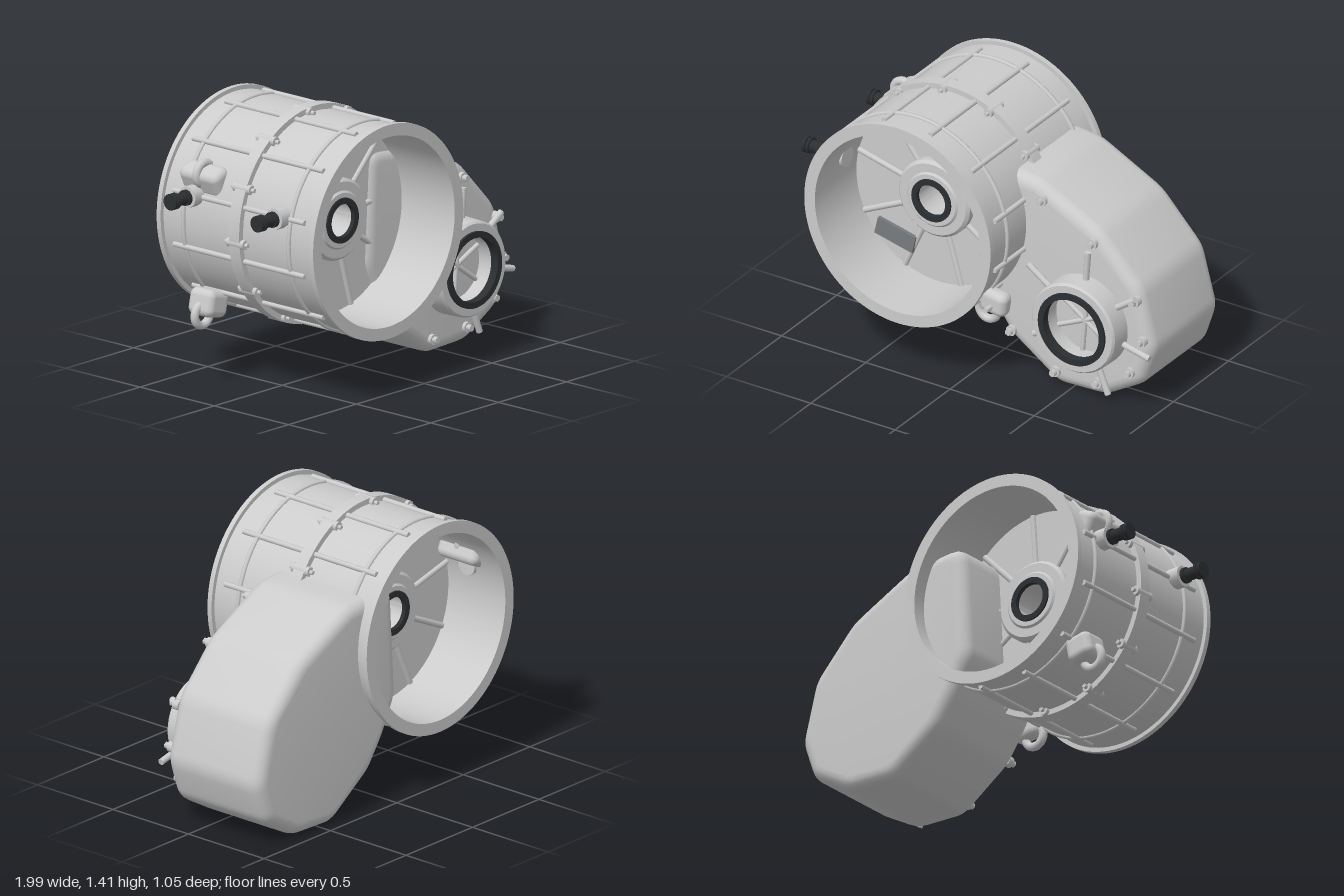
import * as THREE from 'three';
import { toCreasedNormals } from 'three/addons/utils/BufferGeometryUtils.js';
import { RoundedBoxGeometry } from 'three/addons/geometries/RoundedBoxGeometry.js';

const grey = new THREE.MeshStandardMaterial({ color: 0xcccccc });
const black = new THREE.MeshStandardMaterial({ color: 0x2c2f31 });
const dark = new THREE.MeshStandardMaterial({ color: 0x777b7e });

const CX = -0.295, CY = 0.858; // drum axis
const HX = 0.59, HY = 0.43;    // side housing hub axis
const rad = THREE.MathUtils.degToRad;

export function createModel() {
  const model = new THREE.Group();
  model.name = 'drumAndGearHousing';

  const add = (name, geo, mat = grey, x = 0, y = 0, z = 0, parent = model) => {
    const mesh = new THREE.Mesh(geo, mat);
    mesh.name = name;
    mesh.position.set(x, y, z);
    parent.add(mesh);
    return mesh;
  };

  // Solid of revolution about z, from a counter-clockwise (radius, z) section
  const turned = (section, segments = 72) => {
    const pts = [...section, section[0]].map(p => new THREE.Vector2(...p));
    return toCreasedNormals(new THREE.LatheGeometry(pts, segments).rotateX(Math.PI / 2), 0.5);
  };
  const ring = (inner, outer, z0, z1) =>
    turned([[outer, z0], [outer, z1], [inner, z1], [inner, z0]]);

  // Round bar between two points
  const bar = (name, a, b, r, parent = model) => {
    const p = new THREE.Vector3(...a), q = new THREE.Vector3(...b), d = q.clone().sub(p);
    const mesh = add(name, new THREE.CylinderGeometry(r, r, d.length(), 10), grey, 0, 0, 0, parent);
    mesh.position.copy(p).add(q).multiplyScalar(0.5);
    mesh.quaternion.setFromUnitVectors(new THREE.Vector3(0, 1, 0), d.normalize());
  };

  // Drum: open shell with end flanges, web, hub and clamp band
  const drum = new THREE.Group();
  drum.name = 'drum';
  drum.position.set(CX, CY, 0);
  model.add(drum);
  const onDrum = (name, geo, mat = grey, z = 0) => add(name, geo, mat, 0, 0, z, drum);
  onDrum('drumShell', turned([
    [0.553, -0.527], [0.553, -0.5], [0.531, -0.5], [0.531, 0.5], [0.553, 0.5], [0.553, 0.527],
    [0.49, 0.527], [0.49, -0.527]], 96));
  onDrum('clampBand', ring(0.52, 0.56, -0.035, 0.035));
  onDrum('drumWeb', ring(0.15, 0.5, -0.15, 0.15));
  onDrum('drumHub', turned([
    [0.21, -0.19], [0.21, 0.19], [0.195, 0.205], [0.15, 0.205], [0.14, 0.215], [0.1, 0.215],
    [0.1, -0.215], [0.14, -0.215], [0.15, -0.205], [0.195, -0.205]]));
  for (const s of [-1, 1]) onDrum('hubSeal', ring(0.085, 0.116, -0.012, 0.012), black, s * 0.212);

  // Radial web ribs on both faces
  for (let i = 0; i < 9; i++) {
    const a = rad(6 + i * 40), c = Math.cos(a), n = Math.sin(a);
    for (const z of [-0.15, 0.15])
      bar('webRib', [0.2 * c, 0.2 * n, z], [0.495 * c, 0.495 * n, z], 0.016, drum);
  }

  // Outer grid of hoops, long ribs and clamp bolts
  for (const z of [-0.365, 0.345])
    onDrum('drumHoop', new THREE.TorusGeometry(0.533, 0.012, 8, 96), grey, z);
  for (let i = 0; i < 12; i++) {
    const a = rad(15 + 30 * i), x = 0.536 * Math.cos(a), y = 0.536 * Math.sin(a);
    bar('drumRib', [x, y, -0.44], [x, y, 0.44], 0.014, drum);
    const b = rad(5 + 30 * i), bx = 0.538 * Math.cos(b), by = 0.538 * Math.sin(b);
    bar('clampBolt', [bx, by, -0.056], [bx, by, 0.056], 0.025, drum);
    bar('clampBoltTip', [bx, by, -0.075], [bx, by, 0.075], 0.011, drum);
  }

  // Blank plate on the web
  const plate = add('plate', new THREE.BoxGeometry(0.23, 0.095, 0.02), dark, -0.54, 0.567, 0.165);
  plate.rotation.z = rad(-13);

  // Side housing: polygon outline with softened corners, extruded with round edges
  const outline = [[-0.04, 1.155], [-0.075, 0.55], [0.02, 0.36], [0.13, 0.2], [0.41, 0.005],
    [0.69, 0.015], [0.92, 0.15], [0.99, 0.36], [0.905, 0.68], [0.665, 0.935], [0.3, 1.12]]
    .map(p => new THREE.Vector2(...p));
  const shape = new THREE.Shape();
  outline.forEach((p, i) => {
    const count = outline.length;
    const prev = outline[(i + count - 1) % count], next = outline[(i + 1) % count];
    const toward = q => p.clone().add(q.clone().sub(p).setLength(i === 0 ? 0.09 : 0.05));
    const a = toward(prev), b = toward(next);
    if (i === 0) shape.moveTo(a.x, a.y); else shape.lineTo(a.x, a.y);
    shape.quadraticCurveTo(p.x, p.y, b.x, b.y);
  });
  shape.closePath();
  const bevel = 0.065;
  const body = new THREE.ExtrudeGeometry(shape, {
    depth: 0.62 - 2 * bevel, bevelThickness: bevel, bevelSize: bevel, bevelOffset: -bevel,
    bevelSegments: 5, curveSegments: 4 });
  add('sideHousing', toCreasedNormals(body, 0.5), grey, 0, 0, -0.45 + bevel);

  // Housing hub with seal and spoked recess
  add('housingHub', turned([[0.25, 0.15], [0.245, 0.28], [0.235, 0.292], [0.175, 0.292],
    [0.175, 0.15]]), grey, HX, HY);
  add('housingSeal', ring(0.165, 0.197, 0.26, 0.305), black, HX, HY);
  for (let i = 0; i < 3; i++) {
    const a = rad(25 + 60 * i), x = 0.18 * Math.cos(a), y = 0.18 * Math.sin(a);
    bar('recessSpoke', [HX - x, HY - y, 0.175], [HX + x, HY + y, 0.175], 0.013);
  }

  // Housing face ribs radiating from the hub
  for (const [x, y] of [[0.62, 0.83], [0.265, 0.66], [0.9, 0.645], [0.985, 0.335],
    [0.74, 0.06], [0.3, 0.275]]) {
    const d = new THREE.Vector2(x - HX, y - HY).setLength(0.23);
    bar('housingRib', [HX + d.x, HY + d.y, 0.196], [x, y, 0.196], 0.017);
  }

  // Housing cover bolts
  for (const [x, y] of [[0.335, 1.03], [0.635, 0.875], [0.885, 0.62], [0.925, 0.405],
    [0.855, 0.21], [0.665, 0.095], [0.415, 0.085], [0.155, 0.24]]) {
    bar('coverBoltWasher', [x, y, 0.15], [x, y, 0.188], 0.028);
    const head = add('coverBoltHead', new THREE.CylinderGeometry(0.018, 0.018, 0.03, 6), grey, x, y, 0.198);
    head.rotation.x = Math.PI / 2;
  }

  // Hose connectors on the drum's right side
  for (const z of [-0.3, 0.285]) {
    bar('connectorBase', [-0.75, 1, z], [-0.87, 1, z], 0.055);
    for (const [x, r, len] of [[-0.93, 0.032, 0.14], [-0.885, 0.04, 0.02],
      [-0.967, 0.042, 0.016], [-0.99, 0.042, 0.018]]) {
      const part = add('hoseConnector', new THREE.CylinderGeometry(r, r, len, 24), black, x, 1, z);
      part.rotation.z = Math.PI / 2;
    }
  }

  // Rounded lugs with hook eyes
  const lug = (x, y, z, size, turn, eye) => {
    const box = add('lug', new RoundedBoxGeometry(...size, 4, 0.038), grey, x, y, z);
    box.rotation.z = rad(turn);
    const [ex, ey, ez] = eye;
    add('lugEye', new THREE.TorusGeometry(0.055, 0.022, 10, 32), grey, ex, ey, ez);
  };
  lug(-0.715, 0.425, -0.3, [0.15, 0.14, 0.16], -12, [-0.76, 0.37, -0.3]);
  lug(0.175, 0.49, 0.35, [0.15, 0.13, 0.09], -8, [0.13, 0.435, 0.35]);
  lug(-0.765, 1.08, -0.27, [0.12, 0.14, 0.26], 25, [-0.78, 1.11, -0.27]);
  bar('lugPin', [0.17, 0.475, 0.38], [0.17, 0.475, 0.44], 0.014);

  return model;
}
